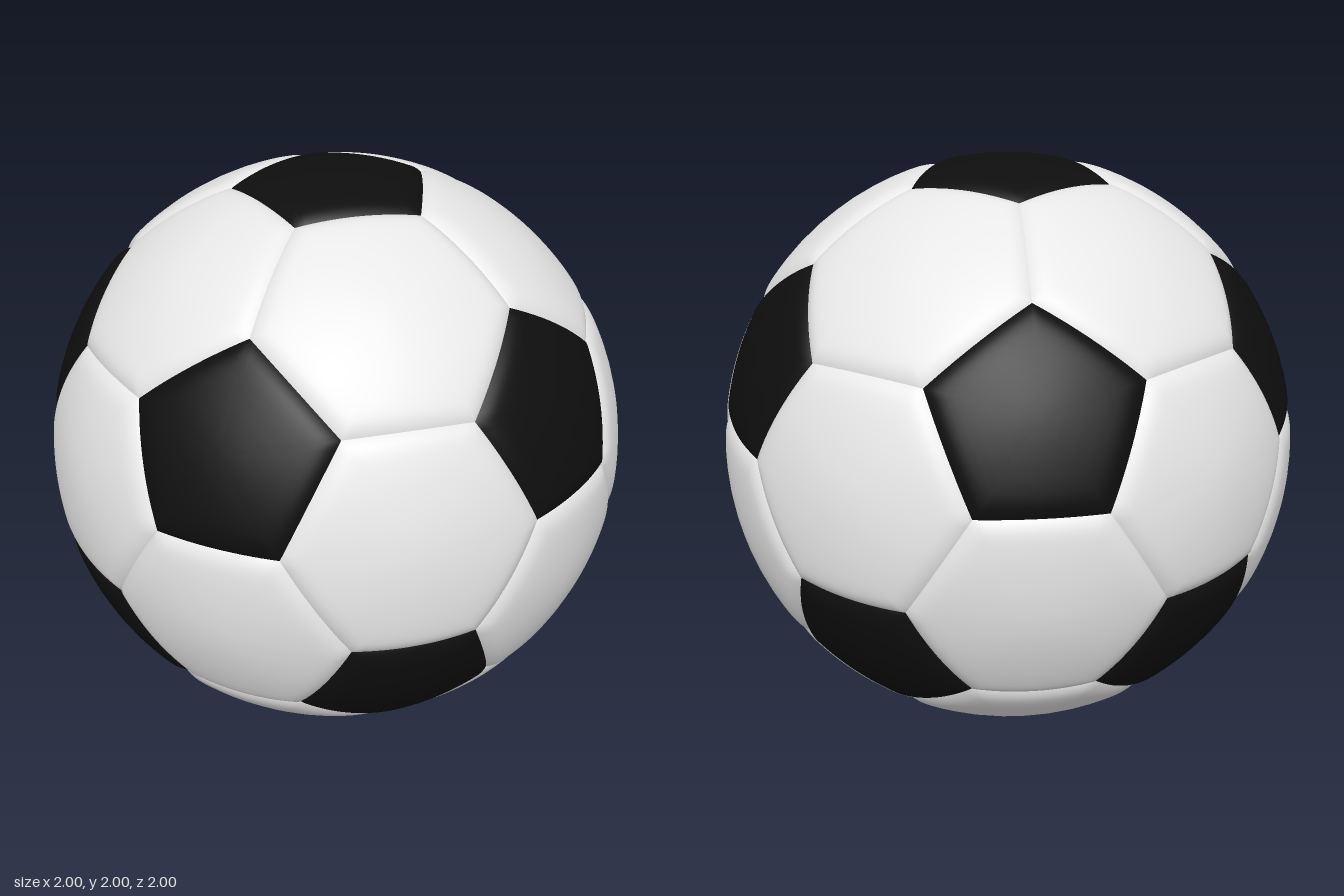
import * as THREE from 'three';

const SEGMENTS = 14; // divisions along each panel side
const RINGS = [0.2, 0.4, 0.58, 0.7, 0.78, 0.84, 0.88, 0.91, 0.94, 0.965, 0.985, 1];
const SEAM_DEPTH = 0.016;
const SEAM_WIDTH = 0.085;

// Icosahedron directions: two poles and two staggered rings of five
function icosahedronPoints() {
  const y = 1 / Math.sqrt(5), r = 2 / Math.sqrt(5);
  const points = [new THREE.Vector3(0, 1, 0), new THREE.Vector3(0, -1, 0)];
  for (let i = 0; i < 5; i++) {
    const a = (i * Math.PI * 2) / 5, b = a + Math.PI / 5;
    points.push(new THREE.Vector3(r * Math.cos(a), y, r * Math.sin(a)));
    points.push(new THREE.Vector3(r * Math.cos(b), -y, r * Math.sin(b)));
  }
  return points;
}

const third = (a, b) => a.clone().lerp(b, 1 / 3);

// Sort corners anticlockwise as seen from outside
function sortAround(corners, axis) {
  const u = corners[0].clone().projectOnPlane(axis).normalize();
  const v = axis.clone().cross(u);
  const angle = (p) => Math.atan2(p.dot(v), p.dot(u));
  return corners.sort((p, q) => angle(p) - angle(q));
}

// Curved panel: concentric rings on the sphere, dipping into the seam at the rim
function panelGeometry(corners) {
  const n = corners.length, count = n * SEGMENTS;
  const center = corners.reduce((s, p) => s.add(p), new THREE.Vector3()).divideScalar(n);
  const edges = corners.map((p, i) => p.clone().cross(corners[(i + 1) % n]).normalize());
  const positions = [], indices = [];

  const addPoint = (p) => {
    p.normalize();
    const distance = Math.min(...edges.map((e) => Math.asin(e.dot(p))));
    const t = 1 - THREE.MathUtils.clamp(distance / SEAM_WIDTH, 0, 1);
    p.multiplyScalar(1 - SEAM_DEPTH * t * t * t);
    positions.push(p.x, p.y, p.z);
  };

  addPoint(center.clone());
  for (const s of RINGS) {
    for (let k = 0; k < count; k++) {
      const i = Math.floor(k / SEGMENTS);
      const rim = corners[i].clone().lerp(corners[(i + 1) % n], (k % SEGMENTS) / SEGMENTS);
      addPoint(center.clone().lerp(rim, s));
    }
  }
  for (let k = 0; k < count; k++) {
    const next = (k + 1) % count;
    indices.push(0, 1 + k, 1 + next);
    for (let j = 1; j < RINGS.length; j++) {
      const a = 1 + (j - 1) * count, b = a + count;
      indices.push(a + k, b + k, b + next, a + k, b + next, a + next);
    }
  }
  const geometry = new THREE.BufferGeometry();
  geometry.setAttribute('position', new THREE.Float32BufferAttribute(positions, 3));
  geometry.setIndex(indices);
  geometry.computeVertexNormals();
  return geometry;
}

export function createModel() {
  const black = new THREE.MeshStandardMaterial({ name: 'black', color: 0x0e0e0e });
  const white = new THREE.MeshStandardMaterial({ name: 'white', color: 0xe7e7e7 });
  const ball = new THREE.Group();
  ball.name = 'ball';

  const addPanel = (name, corners, axis, material) => {
    const mesh = new THREE.Mesh(panelGeometry(sortAround(corners, axis)), material);
    mesh.name = name;
    mesh.position.y = 1;
    ball.add(mesh);
  };

  const points = icosahedronPoints();
  const near = (a, b) => a !== b && a.dot(b) > 0.4;

  // Twelve black pentagons, one around each icosahedron corner
  for (const a of points) {
    const corners = points.filter((b) => near(a, b)).map((b) => third(a, b));
    addPanel('pentagonPanel', corners, a, black);
  }

  // Twenty white hexagons, one on each icosahedron face
  points.forEach((a, i) => points.forEach((b, j) => points.forEach((c, k) => {
    if (i < j && j < k && near(a, b) && near(b, c) && near(a, c)) {
      const corners = [[a, b], [b, a], [b, c], [c, b], [c, a], [a, c]].map(([p, q]) => third(p, q));
      const axis = a.clone().add(b).add(c).normalize();
      addPanel('hexagonPanel', corners, axis, white);
    }
  })));

  return ball;
}
